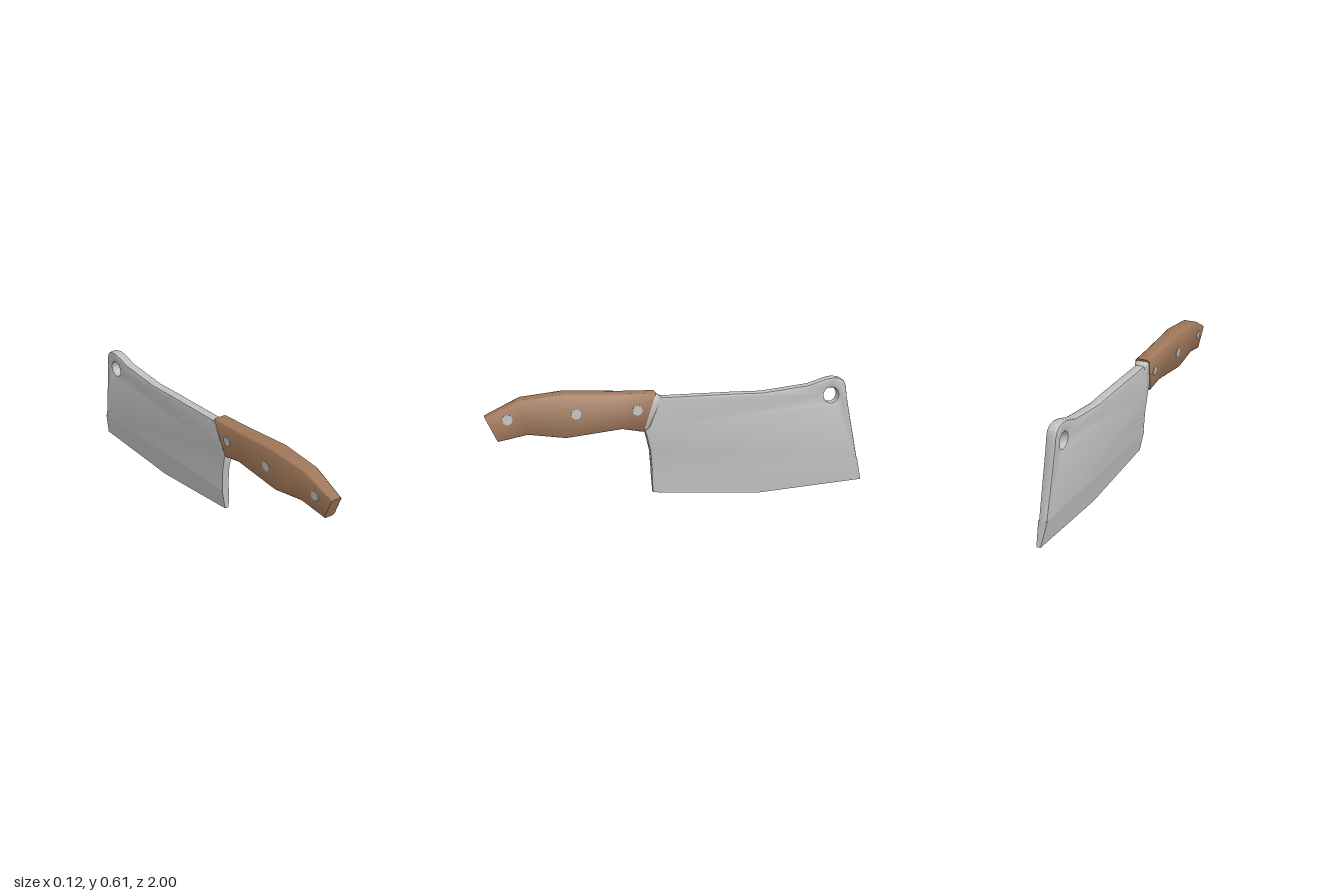
import * as THREE from 'three';
import { mergeGeometries, toCreasedNormals } from 'three/addons/utils/BufferGeometryUtils.js';

const steel = new THREE.MeshStandardMaterial({ color: 0xc0c0c0 });
steel.name = 'steel';
const wood = new THREE.MeshStandardMaterial({ color: 0xa1785a });
wood.name = 'wood';

const LEAN = 0.105; // the handle leans sideways by this much per unit of height
const MID = 0.485;
const CUT = 0.16; // height where the grind towards the edge begins
const lerp = THREE.MathUtils.lerp;

// Side limits of the blade at a given height
function bladeSides(y) {
  if (y < CUT) return [lerp(0.02, -0.012, y / CUT), lerp(0.035, 0.033, y / CUT)];
  const t = (y - CUT) / 0.39;
  return [lerp(-0.012, -0.033, t), lerp(0.033, 0.022, t)];
}

// Extrude a [z, y] outline and wedge it between the blade's sides
function bladePart(shape, bevel) {
  const geo = new THREE.ExtrudeGeometry(shape, {
    depth: bevel ? 0.6 : 1, bevelEnabled: bevel, bevelThickness: 0.2,
    bevelSize: 0.012, bevelOffset: -0.012, bevelSegments: 2, curveSegments: 24,
  });
  if (bevel) geo.translate(0, 0, 0.2);
  geo.rotateY(Math.PI / 2);
  const p = geo.attributes.position;
  for (let i = 0; i < p.count; i++) {
    let y = p.getY(i);
    if (bevel && y < CUT + 0.02) y = CUT; // keep the seam closed
    const [l, r] = bladeSides(y);
    p.setXYZ(i, lerp(l, r, p.getX(i)), y, p.getZ(i));
  }
  geo.clearGroups();
  return geo;
}

const outline = (pts) => new THREE.Shape(pts.map(([z, y]) => new THREE.Vector2(-z, y)));

function makeBlade() {
  const body = outline([
    [0.155, CUT], [-0.976, CUT], [-0.91, 0.5], [-0.905, 0.55], [-0.893, 0.583], [-0.87, 0.6],
    [-0.83, 0.606], [-0.79, 0.6], [-0.7, 0.572], [-0.57, 0.558], [-0.44, 0.545], [-0.3, 0.548],
    [0.13, 0.55], [0.19, 0.385], [0.163, 0.27],
  ]);
  // Hanging hole
  const hole = new THREE.Path();
  hole.absarc(0.82, 0.51, 0.04, 0, Math.PI * 2, true);
  body.holes.push(hole);
  const edge = outline([[0.155, CUT], [0.15, 0.045], [-0.2, 0.017], [-0.42, 0], [-0.7, 0.017],
    [-1, 0.035], [-0.976, CUT]]);
  const geo = mergeGeometries([bladePart(body, true), bladePart(edge, false)]);
  geo.deleteAttribute('uv');
  return new THREE.Mesh(toCreasedNormals(geo, 0.65), steel);
}

// Loft chamfered box sections; each is [zTop, yTop, zBottom, yBottom, halfWidth]
function loft(sections, chamfer) {
  const pos = [];
  const idx = [];
  const ring = [[1, 1, 0], [1, 0, 1], [1, 0, -1], [1, -1, 0]]; // unused scale kept per corner below
  const n = ring.length * 2;
  for (const [zt, yt, zb, yb, w] of sections) {
    const h = yt - yb;
    const c = chamfer / h;
    const pts = [[w - chamfer, 1], [w, 1 - c], [w, c], [w - chamfer, 0],
      [chamfer - w, 0], [-w, c], [-w, 1 - c], [chamfer - w, 1]];
    for (const [x, t] of pts) {
      const y = lerp(yb, yt, t);
      pos.push(x - LEAN * (y - MID), y, lerp(zb, zt, t));
    }
  }
  const last = sections.length - 1;
  for (let s = 0; s < last; s++) {
    for (let i = 0; i < n; i++) {
      const a = s * n + i, b = s * n + (i + 1) % n;
      idx.push(a, b, a + n, b, b + n, a + n);
    }
  }
  // End caps
  for (let i = 1; i < n - 1; i++) {
    idx.push(0, i + 1, i, last * n, last * n + i, last * n + i + 1);
  }
  const geo = new THREE.BufferGeometry();
  geo.setAttribute('position', new THREE.Float32BufferAttribute(pos, 3));
  geo.setIndex(idx);
  // Sections run towards -z, so flip when the triangles face inward
  const flat = geo.toNonIndexed();
  const p = flat.attributes.position;
  let volume = 0;
  const [a, b, c] = [0, 1, 2].map(() => new THREE.Vector3());
  for (let i = 0; i < p.count; i += 3) {
    a.fromBufferAttribute(p, i);
    b.fromBufferAttribute(p, i + 1);
    c.fromBufferAttribute(p, i + 2);
    volume += a.dot(b.cross(c));
  }
  if (volume < 0) geo.setIndex(idx.reverse());
  return toCreasedNormals(geo, 0.9);
}

export function createModel() {
  const model = new THREE.Group();
  model.name = 'cleaver';
  const add = (mesh, name) => {
    mesh.name = name;
    model.add(mesh);
    return mesh;
  };

  add(makeBlade(), 'blade');

  // Wooden grip, from butt to blade
  add(new THREE.Mesh(loft([
    [1, 0.495, 0.94, 0.37, 0.031],
    [0.82, 0.576, 0.79, 0.4, 0.042],
    [0.6, 0.596, 0.6, 0.373, 0.048],
    [0.3, 0.579, 0.31, 0.4, 0.043],
    [0.13, 0.575, 0.2, 0.378, 0.039],
  ], 0.008), wood), 'handle');

  // Steel collar between grip and blade
  add(new THREE.Mesh(loft([
    [0.14, 0.565, 0.205, 0.385, 0.036],
    [0.118, 0.562, 0.185, 0.386, 0.035],
    [0.1, 0.55, 0.17, 0.392, 0.028],
  ], 0.008), steel), 'collar');

  // Rivets through the grip
  for (const [z, y, w] of [[0.89, 0.477, 0.038], [0.545, 0.487, 0.047], [0.23, 0.488, 0.042]]) {
    const rivet = add(new THREE.Mesh(
      new THREE.CylinderGeometry(0.026, 0.026, 2 * (w + 0.002), 16), steel), 'rivet');
    rivet.rotation.z = -Math.PI / 2 + LEAN;
    rivet.position.set(-LEAN * (y - MID), y, z);
  }
  return model;
}
